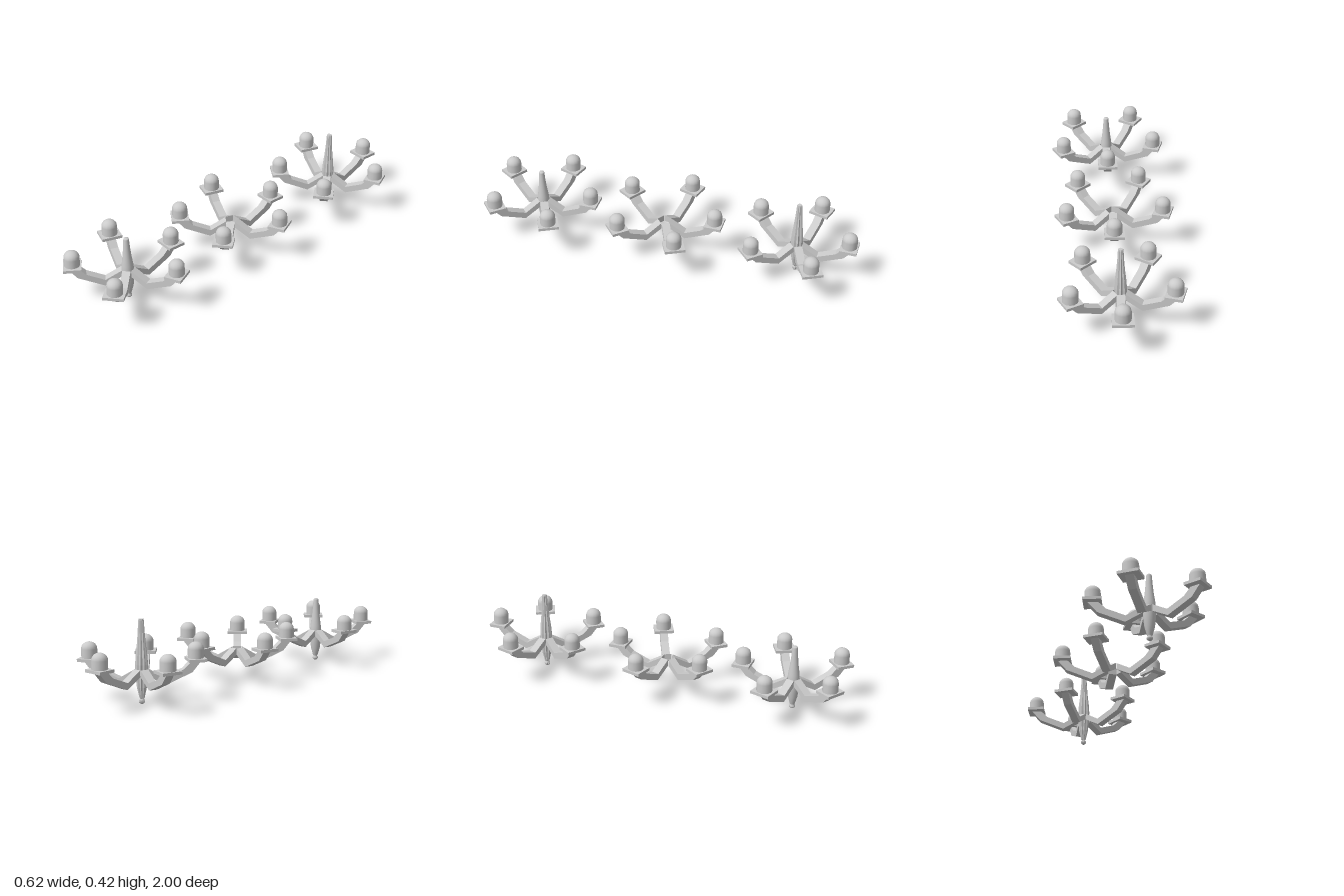
import * as THREE from 'three';

const V = (x, y) => new THREE.Vector2(x, y);
const grey = new THREE.MeshStandardMaterial({ color: 0xcccccc, side: THREE.DoubleSide });
const flat = new THREE.MeshStandardMaterial({ color: 0xcccccc, side: THREE.DoubleSide, flatShading: true });

function add(parent, name, geometry, material, x = 0, y = 0) {
  const mesh = new THREE.Mesh(geometry, material);
  mesh.name = name;
  mesh.position.set(x, y, 0);
  parent.add(mesh);
  return mesh;
}

// One bent arm: side outline swept across its width
const WIDTH = 0.042;
const armShape = new THREE.Shape([
  V(0.03, 0.14), V(0.115, 0.092), V(0.248, 0.148), V(0.295, 0.204),
  V(0.245, 0.204), V(0.205, 0.165), V(0.112, 0.126), V(0.03, 0.175),
]);
const armGeo = new THREE.ExtrudeGeometry(armShape, { depth: WIDTH, bevelEnabled: false });
armGeo.translate(0, 0, -WIDTH / 2);

const trayGeo = new THREE.BoxGeometry(0.09, 0.015, 0.105);

// Rounded lamp: straight wall, then a dome
const lampProfile = [V(0.04, 0)];
for (let i = 0; i <= 6; i++) {
  const a = (i / 6) * Math.PI / 2;
  lampProfile.push(V(0.04 * Math.cos(a), 0.045 + 0.036 * Math.sin(a)));
}
const lampGeo = new THREE.LatheGeometry(lampProfile, 14);

// Turned centre stem with a ball at the foot
const stemProfile = [
  V(0, 0), V(0.009, 0.002), V(0.015, 0.008), V(0.015, 0.016), V(0.009, 0.023),
  V(0.013, 0.026), V(0.025, 0.07), V(0.031, 0.12), V(0.032, 0.165), V(0.029, 0.2),
  V(0.022, 0.25), V(0.017, 0.3), V(0.014, 0.345), V(0.012, 0.352), V(0, 0.352),
];

// Taller stem with lengthwise flutes
function flutedStem() {
  const ribs = 10;
  const profile = stemProfile.map(p => V(p.x, p.y * 1.2));
  const geo = new THREE.LatheGeometry(profile, ribs * 2);
  const pos = geo.attributes.position;
  for (let i = 0; i < pos.count; i++) {
    const column = Math.floor(i / profile.length);
    const s = column % 2 ? 0.82 : 1;
    pos.setX(i, pos.getX(i) * s);
    pos.setZ(i, pos.getZ(i) * s);
  }
  geo.computeVertexNormals();
  return geo;
}

const armAngles = [89, 25.7, -49.3, -124, 162.5];

function chandelier(name, z) {
  const group = new THREE.Group();
  group.name = name;
  group.position.z = z;
  for (const angle of armAngles) {
    const branch = new THREE.Group();
    branch.name = 'branch';
    branch.rotation.y = THREE.MathUtils.degToRad(angle);
    add(branch, 'arm', armGeo, flat);
    add(branch, 'tray', trayGeo, flat, 0.271, 0.2095);
    add(branch, 'lamp', lampGeo, grey, 0.271, 0.216);
    group.add(branch);
  }
  return group;
}

export function createModel() {
  const model = new THREE.Group();
  model.name = 'chandeliers';

  const front = chandelier('frontChandelier', 0.7);
  add(front, 'smoothStem', new THREE.LatheGeometry(stemProfile, 20), grey);

  // The middle one has an open hub
  const middle = chandelier('middleChandelier', 0.02);

  const back = chandelier('backChandelier', -0.688);
  add(back, 'flutedStem', flutedStem(), flat);

  model.add(front, middle, back);
  return model;
}
